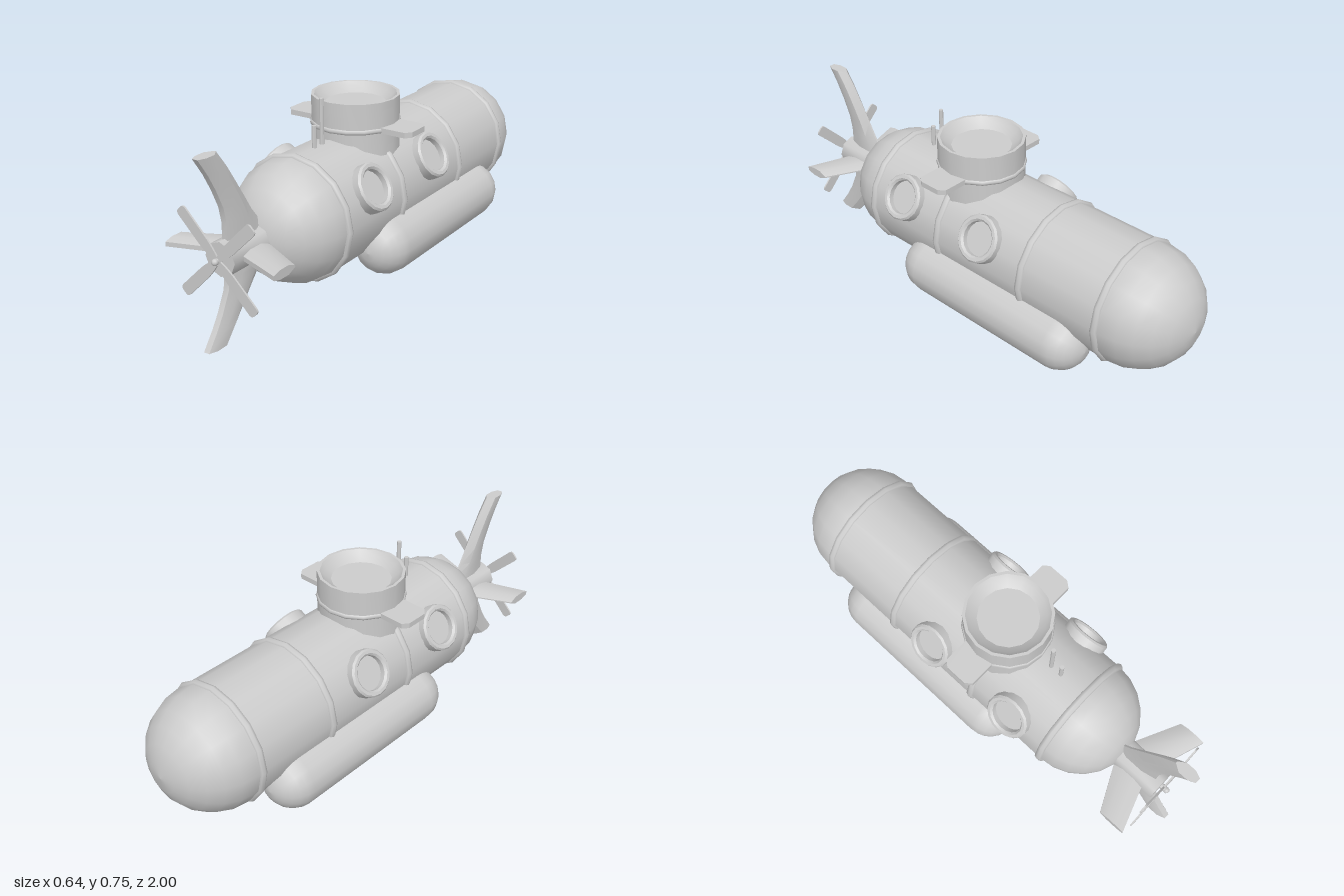
import * as THREE from 'three';
import { toCreasedNormals } from 'three/addons/utils/BufferGeometryUtils.js';

const AXIS_Y = 0.325;
const HULL_R = 0.248;

const crease = (g, angle = 0.6) => toCreasedNormals(g, angle);
const v2 = (x, y) => new THREE.Vector2(x, y);

// Capsule profile turned about y, laid along z
function capsuleZ(radius, z0, z1, rings) {
  const half = (z1 - z0) / 2 - radius;
  const pts = [];
  for (let i = 0; i <= rings; i++) {
    const a = -Math.PI / 2 + (i / rings) * Math.PI / 2;
    pts.push(v2(Math.max(0, radius * Math.cos(a)), -half + radius * Math.sin(a)));
  }
  const top = pts.map(p => v2(p.x, -p.y)).reverse();
  const g = new THREE.LatheGeometry([...pts, ...top], 16);
  g.rotateX(Math.PI / 2);
  g.translate(0, 0, (z0 + z1) / 2);
  return g;
}

// Lens-section fin; each station is [span, leading z, trailing z], span along +y
function finGeometry(stations, t) {
  const section = [[0, 0.15], [0.3, 1], [0.7, 1], [1, 0.5]];
  const loop = [...section, ...section.slice().reverse().map(([f, h]) => [f, -h])];
  const n = loop.length, pos = [], idx = [];
  for (const [s, lead, trail] of stations)
    for (const [f, h] of loop) pos.push(h * t, s, lead + (trail - lead) * f);
  for (let k = 0; k < stations.length - 1; k++)
    for (let i = 0; i < n; i++) {
      const j = (i + 1) % n, a = k * n, b = a + n;
      idx.push(a + i, b + i, a + j, a + j, b + i, b + j);
    }
  const last = (stations.length - 1) * n;
  for (let i = 1; i < n - 1; i++) {
    idx.push(last, last + i + 1, last + i);
    idx.push(0, i, i + 1);
  }
  const g = new THREE.BufferGeometry();
  g.setAttribute('position', new THREE.Float32BufferAttribute(pos, 3));
  g.setIndex(idx);
  return crease(g, 0.5);
}

export function createModel() {
  const model = new THREE.Group();
  model.name = 'submarine';
  const mat = new THREE.MeshStandardMaterial({ color: 0xcccccc, side: THREE.DoubleSide });
  const add = (name, geo, x = 0, y = 0, z = 0, parent = model) => {
    const m = new THREE.Mesh(geo, mat);
    m.name = name;
    m.position.set(x, y, z);
    parent.add(m);
    return m;
  };

  // Hull and its reinforcing bands
  add('hull', capsuleZ(HULL_R, -1, 0.72, 6), 0, AXIS_Y, 0);
  for (const z of [0.47, 0.09, -0.357, -0.725])
    add('hullBand', new THREE.TorusGeometry(0.243, 0.017, 8, 16), 0, AXIS_Y, z);

  // Ballast tanks
  for (const side of [1, -1])
    add('ballastTank', capsuleZ(0.122, -0.66, 0.28, 6), side * 0.2, 0.151, 0);

  // Conning tower with a dished top
  const tower = new THREE.LatheGeometry([
    v2(0.178, 0.42), v2(0.178, 0.723), v2(0.166, 0.723),
    v2(0.15, 0.705), v2(0.122, 0.685), v2(0, 0.685)], 16);
  add('tower', crease(tower), 0, 0, 0.068);
  const towerBand = new THREE.TorusGeometry(0.172, 0.012, 8, 16).rotateX(Math.PI / 2);
  add('towerBand', towerBand, 0, 0.61, 0.068);

  // Diving planes on the tower
  for (const side of [1, -1]) {
    const s = new THREE.Shape([
      v2(0.12, -0.07), v2(0.272, -0.07), v2(0.292, -0.045),
      v2(0.292, 0.045), v2(0.272, 0.07), v2(0.12, 0.07)]);
    const g = new THREE.ExtrudeGeometry(s, { depth: 0.022, bevelEnabled: false });
    g.rotateX(-Math.PI / 2);
    if (side < 0) g.rotateY(Math.PI);
    add('towerPlane', g, 0, 0.6, 0.068);
  }

  // Portholes, tilted upward on both flanks
  const porthole = crease(new THREE.LatheGeometry([
    v2(0.097, -0.11), v2(0.097, -0.008), v2(0.09, 0), v2(0.078, 0),
    v2(0.07, -0.008), v2(0.07, -0.03), v2(0, -0.03)], 16));
  for (const side of [1, -1])
    for (const z of [0.29, -0.14]) {
      const p = add('porthole', porthole, side * 0.2485, 0.451, z);
      p.rotation.z = -side * Math.PI / 3;
    }

  // Periscope and aerial
  for (const [name, z, top] of [['periscope', 0.298, 0.755], ['aerial', 0.348, 0.66]]) {
    const h = top - 0.52;
    add(name, crease(new THREE.CylinderGeometry(0.009, 0.009, h, 8), 0.9), 0, 0.52 + h / 2, z);
  }

  // Tail fins
  const upper = [[0, 0.62, 0.87], [0.065, 0.68, 0.875], [0.13, 0.73, 0.875],
    [0.19, 0.765, 0.887], [0.265, 0.81, 0.92], [0.33, 0.85, 0.955], [0.398, 0.9, 1]];
  const lower = [[0, 0.62, 0.87], [0.085, 0.69, 0.876], [0.13, 0.725, 0.882],
    [0.205, 0.787, 0.918], [0.26, 0.83, 0.952], [0.325, 0.885, 1]];
  const sideFin = [[0, 0.67, 0.835], [0.07, 0.715, 0.857], [0.247, 0.8, 0.917]];
  add('upperTailFin', finGeometry(upper, 0.024), 0, AXIS_Y, 0);
  add('lowerTailFin', finGeometry(lower, 0.024), 0, AXIS_Y, 0).rotation.z = Math.PI;
  for (const side of [1, -1])
    add('sideTailFin', finGeometry(sideFin, 0.018), 0, AXIS_Y, 0).rotation.z = -side * Math.PI / 2;

  // Propeller hub and shaft
  const hub = new THREE.CylinderGeometry(0.067, 0.067, 0.25, 8).rotateX(Math.PI / 2);
  add('propellerHub', crease(hub, 0.9), 0, AXIS_Y, 0.78);
  const shaft = new THREE.CylinderGeometry(0.012, 0.012, 0.05, 10).rotateX(Math.PI / 2);
  add('propellerShaft', crease(shaft, 0.9), 0, AXIS_Y, 0.91);
  add('shaftTip', new THREE.SphereGeometry(0.013, 10, 8), 0, AXIS_Y, 0.932);

  // Propeller blades: petals with rounded tips
  const petal = new THREE.Shape();
  petal.moveTo(-0.008, 0);
  petal.lineTo(0.008, 0);
  petal.quadraticCurveTo(0.018, 0.03, 0.022, 0.08);
  petal.lineTo(0.023, 0.212);
  petal.quadraticCurveTo(0.023, 0.23, 0.008, 0.23);
  petal.lineTo(-0.008, 0.23);
  petal.quadraticCurveTo(-0.023, 0.23, -0.023, 0.212);
  petal.lineTo(-0.022, 0.08);
  petal.quadraticCurveTo(-0.018, 0.03, -0.008, 0);
  const blade = new THREE.ExtrudeGeometry(petal, { depth: 0.007, bevelEnabled: false, curveSegments: 4 });
  for (let i = 0; i < 4; i++)
    add('propellerBlade', blade, 0, AXIS_Y, 0.915).rotation.z = Math.PI / 4 + i * Math.PI / 2;

  return model;
}
